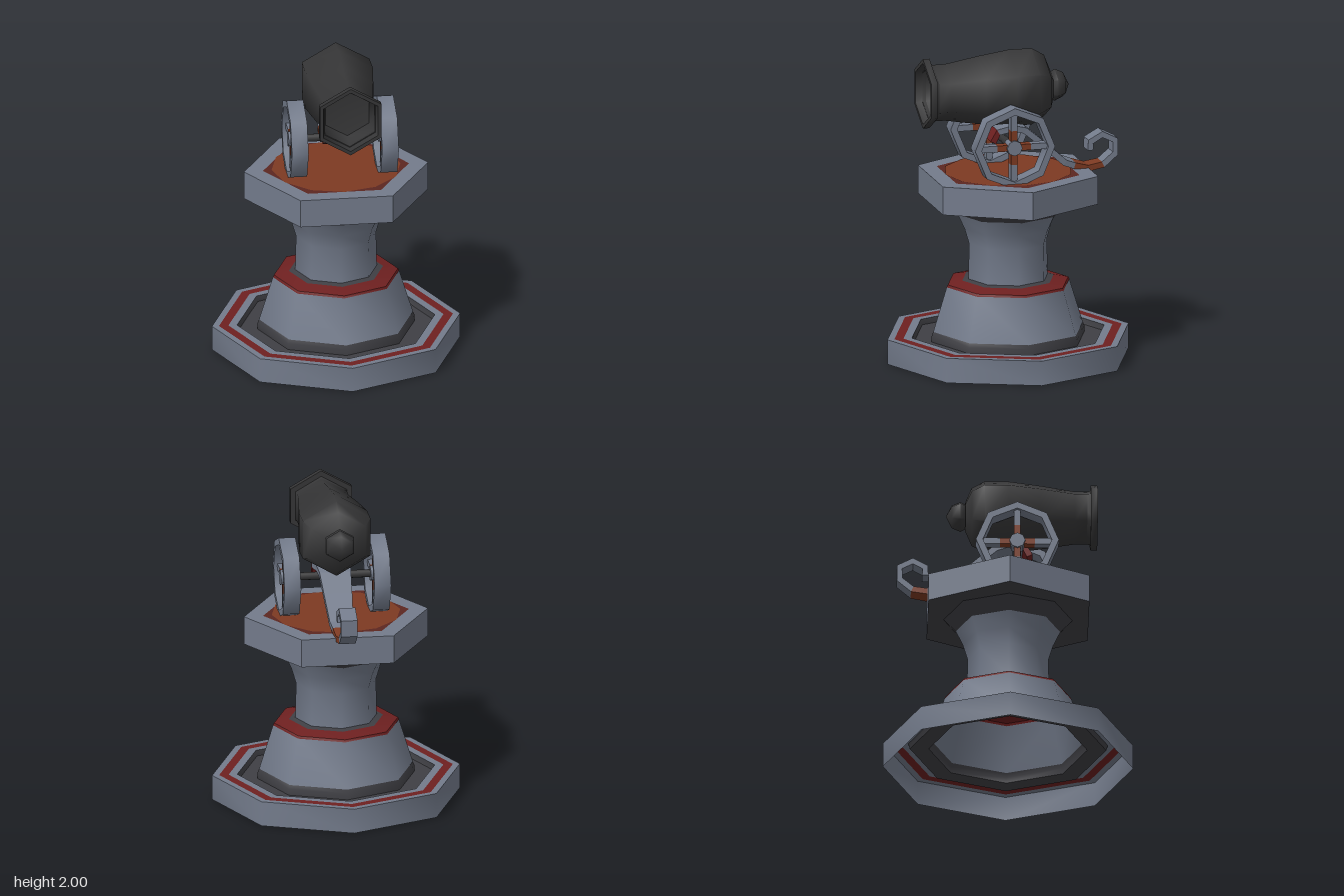
import * as THREE from 'three';
import { toCreasedNormals } from 'three/addons/utils/BufferGeometryUtils.js';

const paint = (name, color) =>
  new THREE.MeshStandardMaterial({ name, color, side: THREE.DoubleSide });

export function createModel() {
  const stone = paint('blue grey', 0x737b8b);
  const iron = paint('gun iron', 0x363637);
  const shade = paint('dark trim', 0x3f3f44);
  const red = paint('dark red', 0x6e2020);
  const rust = paint('rust orange', 0x7d3a22);
  const brown = paint('red brown', 0x5c2620);

  const model = new THREE.Group();
  model.name = 'cannonTower';

  function add(parent, name, geometry, material) {
    const mesh = new THREE.Mesh(geometry, material);
    mesh.name = name;
    parent.add(mesh);
    return mesh;
  }

  // Turned shape from [radius, height] pairs; edges sharper than the crease stay hard
  function turned(profile, sides, start = 0, crease = 0.85) {
    const pts = profile.map(([r, y]) => new THREE.Vector2(r, y));
    return toCreasedNormals(new THREE.LatheGeometry(pts, sides, start), crease);
  }

  // Octagonal base: hollow shell with a painted ring and a sunken floor
  const base = new THREE.Group();
  base.name = 'base';
  model.add(base);
  add(base, 'baseRim', turned([[0.79, 0], [0.79, 0.16], [0.745, 0.16]], 8), stone);
  add(base, 'baseStripe', turned([[0.745, 0.16], [0.685, 0.16]], 8), red);
  add(base, 'baseLip', turned([[0.685, 0.16], [0.63, 0.16]], 8), stone);
  add(base, 'baseRecess', turned([[0.63, 0.16], [0.62, 0.125], [0.5, 0.125]], 8), shade);

  // Pedestal: tapered foot, red collar and flared column
  const pedestal = new THREE.Group();
  pedestal.name = 'pedestal';
  model.add(pedestal);
  add(pedestal, 'footTrim', turned([[0.5, 0.125], [0.5, 0.165], [0.49, 0.19]], 8), shade);
  add(pedestal, 'foot', turned([[0.49, 0.19], [0.402, 0.475]], 8), stone);
  add(pedestal, 'collar', turned([[0.402, 0.475], [0.395, 0.49], [0.3, 0.512]], 8), red);
  add(pedestal, 'collarTop', turned([[0.3, 0.512], [0.26, 0.52]], 8), shade);
  add(pedestal, 'column',
    turned([[0.26, 0.52], [0.255, 0.75], [0.285, 0.85], [0.33, 0.945]], 8), stone);
  add(pedestal, 'columnHead', turned([[0.33, 0.945], [0.41, 1.028]], 8), shade);

  // Hexagonal platform with a painted floor
  const platform = new THREE.Group();
  platform.name = 'platform';
  model.add(platform);
  const q = Math.PI / 2;
  add(platform, 'platformUnderside', turned([[0, 1.025], [0.587, 1.025]], 6, q), shade);
  add(platform, 'platformRim',
    turned([[0.587, 1.025], [0.587, 1.207], [0.465, 1.207]], 6, q), stone);
  add(platform, 'floorBorder', turned([[0.465, 1.207], [0, 1.207]], 6, q), brown);
  add(platform, 'floorPaint', turned([[0.41, 1.21], [0, 1.21]], 12, q), rust);

  // Cannon group sits slightly off the centre line
  const cannon = new THREE.Group();
  cannon.name = 'cannon';
  cannon.position.x = 0.018;
  model.add(cannon);

  // Barrel along z: rear knob, swollen breech, muzzle ring and bore
  const barrelProfile = [
    [0.1, -0.27], [0.2, -0.23], [0.248, -0.15], [0.25, 0], [0.222, 0.2],
    [0.184, 0.42], [0.184, 0.52], [0.226, 0.52], [0.226, 0.563], [0.2, 0.563],
    [0.16, 0.4], [0, 0.38],
  ];
  const knobProfile = [
    [0, -0.392], [0.078, -0.355], [0.104, -0.3], [0.085, -0.268], [0, -0.26],
  ];
  const barrel = add(cannon, 'barrel', turned(barrelProfile, 6, 0, 1.1), iron);
  const knob = add(cannon, 'breechKnob', turned(knobProfile, 6, 0, 1.1), iron);
  for (const part of [barrel, knob]) {
    part.rotation.x = Math.PI / 2;
    part.position.y = 1.75;
  }

  // Axle and a pair of octagonal spoked wheels
  const axleY = 1.44, axleZ = 0.053;
  const axle = add(cannon, 'axle', new THREE.CylinderGeometry(0.026, 0.026, 0.56, 8), iron);
  axle.rotation.z = Math.PI / 2;
  axle.position.set(0, axleY, axleZ);

  const rimGeo = turned(
    [[0.262, -0.053], [0.262, 0.053], [0.218, 0.053], [0.218, -0.053], [0.262, -0.053]], 8);
  const hubGeo = toCreasedNormals(new THREE.CylinderGeometry(0.05, 0.05, 0.09, 8), 0.85);
  for (const side of [-1, 1]) {
    const wheel = new THREE.Group();
    wheel.name = side > 0 ? 'leftWheel' : 'rightWheel';
    wheel.position.set(side * 0.287, axleY, axleZ);
    cannon.add(wheel);
    add(wheel, 'rim', rimGeo, stone).rotation.z = -Math.PI / 2;
    add(wheel, 'hub', hubGeo, stone).rotation.z = -Math.PI / 2;
    for (let i = 0; i < 4; i++) {
      const spoke = new THREE.Group();
      spoke.name = 'spoke';
      spoke.rotation.x = i * Math.PI / 2;
      wheel.add(spoke);
      add(spoke, 'spokeInner', new THREE.BoxGeometry(0.06, 0.07, 0.04), rust).position.y = 0.075;
      add(spoke, 'spokeOuter', new THREE.BoxGeometry(0.06, 0.12, 0.04), stone).position.y = 0.17;
    }
  }

  // Trail: one bent bar, [z, y, width], ending in a scroll
  const path = [
    [0.135, 1.43, 0.24], [0.1, 1.495, 0.24], [0.0, 1.512, 0.22], [-0.08, 1.49, 0.2],
    [-0.2, 1.39, 0.18], [-0.35, 1.255, 0.15], [-0.415, 1.23, 0.13], [-0.505, 1.205, 0.115],
    [-0.605, 1.222, 0.105], [-0.685, 1.29, 0.105], [-0.685, 1.375, 0.105],
    [-0.6, 1.418, 0.105], [-0.523, 1.375, 0.105], [-0.523, 1.32, 0.105],
  ];
  const half = 0.02;
  const sections = path.map(([z, y, w], i) => {
    const p = path[Math.max(i - 1, 0)], n = path[Math.min(i + 1, path.length - 1)];
    const t = new THREE.Vector2(n[0] - p[0], n[1] - p[1]).normalize();
    const dz = t.y * half, dy = -t.x * half;
    return [
      [-w / 2, y + dy, z + dz], [w / 2, y + dy, z + dz],
      [w / 2, y - dy, z - dz], [-w / 2, y - dy, z - dz],
    ];
  });
  function bar(from, to) {
    const pos = [];
    const quad = (a, b, c, d) => pos.push(...a, ...b, ...c, ...a, ...c, ...d);
    for (let i = from; i < to; i++) {
      const s = sections[i], e = sections[i + 1];
      for (let k = 0; k < 4; k++) {
        const m = (k + 1) % 4;
        quad(s[k], s[m], e[m], e[k]);
      }
    }
    const [a, b, c, d] = sections[from];
    quad(d, c, b, a);
    quad(...sections[to]);
    const g = new THREE.BufferGeometry();
    g.setAttribute('position', new THREE.Float32BufferAttribute(pos, 3));
    g.computeVertexNormals();
    return g;
  }
  add(cannon, 'trailFront', bar(0, 1), red);
  add(cannon, 'trail', bar(1, 6), stone);
  add(cannon, 'trailBand', bar(6, 8), rust);
  add(cannon, 'trailScroll', bar(8, 13), stone);

  return model;
}
